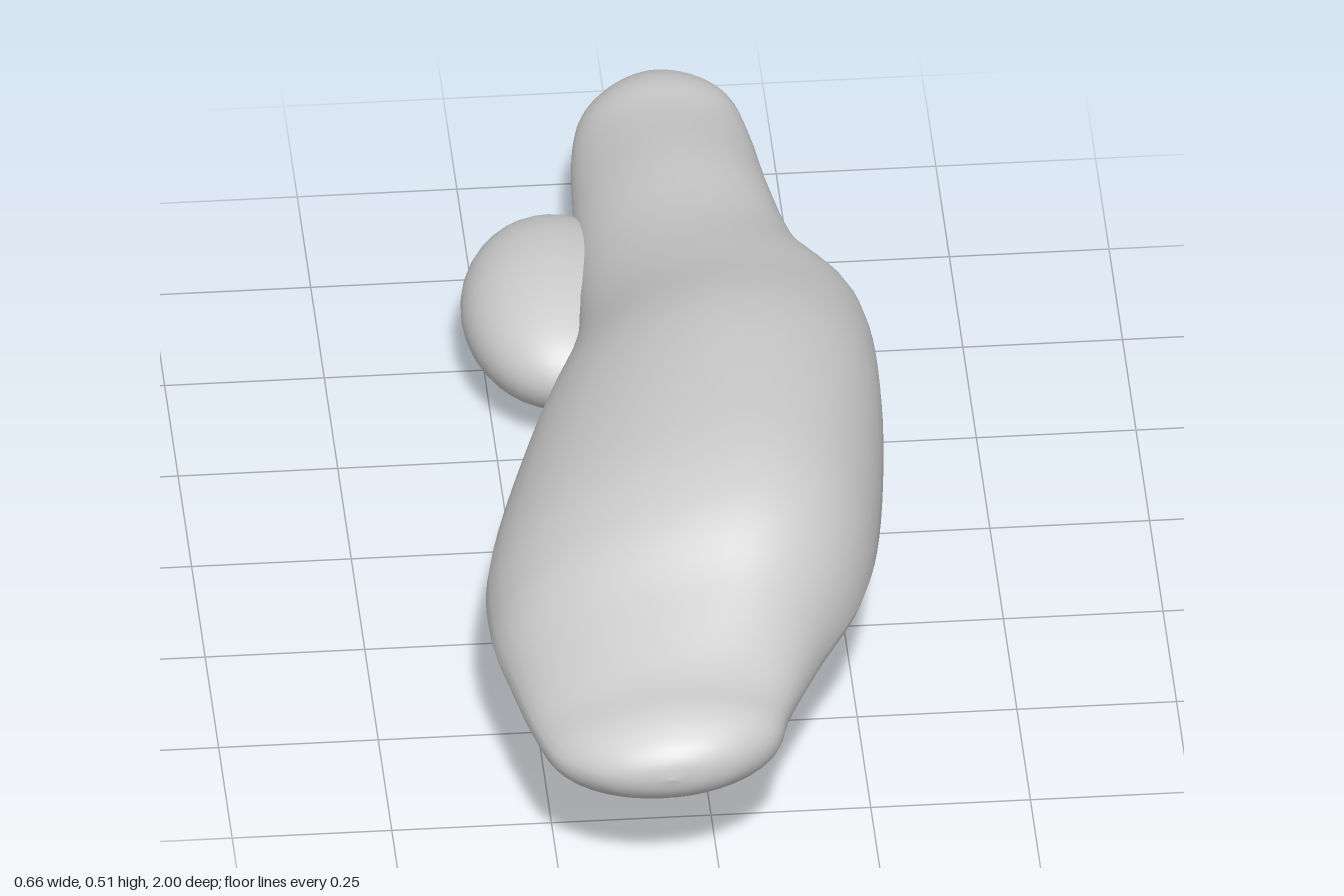
import * as THREE from 'three';

const material = new THREE.MeshStandardMaterial({ color: 0xcccccc });

function part(name, geometry) {
  geometry.computeVertexNormals();
  const mesh = new THREE.Mesh(geometry, material);
  mesh.name = name;
  return mesh;
}

// Smooth value of one column of the section table at position t (0..1)
function sample(rows, col, t) {
  const n = rows.length - 1, f = t * n, i = Math.min(Math.floor(f), n - 1), u = f - i;
  const at = k => rows[THREE.MathUtils.clamp(k, 0, n)][col];
  const a = at(i - 1), b = at(i), c = at(i + 1), d = at(i + 2);
  return b + 0.5 * u * (c - a + u * (2 * a - 5 * b + 4 * c - d + u * (3 * (b - c) + d - a)));
}

// Rounded end: the end section shrinks along a quarter ellipse towards its centre
function cap([z, l, r, tx, ty, y, by, p], tipZ) {
  const mx = (l + r) / 2, my = (ty + by) / 2;
  return [0.5, 0.8, 0.95, 1].map(u => {
    const s = Math.sqrt(1 - u * u);
    const x = v => mx + (v - mx) * s, h = v => my + (v - my) * s;
    return [z + (tipZ - z) * u, x(l), x(r), x(tx), h(ty), h(y), h(by), p];
  });
}

// Skin over the sections; each quadrant is a power curve between edge, top and bottom
function loft(rows, steps = 96, sides = 40) {
  const pos = [], idx = [];
  for (let i = 0; i <= steps; i++) {
    const [z, l, r, tx, ty, y, by, p] = rows[0].map((_, c) => sample(rows, c, i / steps));
    const height = ty - by;
    for (let j = 0; j < sides; j++) {
      const a = (j / sides) * Math.PI * 2, c = Math.cos(a), s = Math.sin(a);
      const power = s >= 0 ? (c < 0 ? 1.15 : 0.95) : p;
      const midX = s >= 0 ? tx : (l + r) / 2 - 0.1 * height;
      const edgeX = c < 0 ? l : r, edgeY = c < 0 ? y : y + 0.1 * height;
      const endY = s >= 0 ? ty : by;
      pos.push(
        midX + (edgeX - midX) * Math.abs(c) ** power,
        edgeY + (endY - edgeY) * Math.abs(s) ** power, z);
      if (i < steps) {
        const k = (j + 1) % sides, q = i * sides, n = q + sides;
        idx.push(q + j, n + j, q + k, q + k, n + j, n + k);
      }
    }
  }
  const g = new THREE.BufferGeometry();
  g.setAttribute('position', new THREE.Float32BufferAttribute(pos, 3));
  g.setIndex(idx);
  return g;
}

// Ellipsoid whose x shifts along z by a rule
function ellipsoid(center, radii, drift = () => 0) {
  const g = new THREE.SphereGeometry(1, 36, 24).scale(...radii).translate(...center);
  const p = g.attributes.position;
  for (let i = 0; i < p.count; i++) p.setX(i, p.getX(i) + drift(p.getZ(i)));
  return g;
}

export function createModel() {
  const group = new THREE.Group();
  group.name = 'organicForm';

  // Sections from front lip to tail:
  // z, left x, right x, top x, top y, edge y, bottom y, power of the underside
  const sections = [
    [0.83, -0.285, 0.12, -0.05, 0.335, 0.23, 0.148, 0.95],
    [0.70, -0.31, 0.18, 0.02, 0.40, 0.23, 0.14, 1.0],
    [0.56, -0.33, 0.255, 0.06, 0.485, 0.23, 0.10, 1.3],
    [0.38, -0.315, 0.297, 0.07, 0.51, 0.235, 0.05, 1.7],
    [0.05, -0.22, 0.326, 0.09, 0.485, 0.24, 0.035, 1.6],
    [-0.22, -0.13, 0.315, 0.10, 0.40, 0.23, 0.04, 1.5],
    [-0.42, -0.11, 0.24, 0.08, 0.342, 0.21, 0.06, 1.25],
    [-0.62, -0.10, 0.21, 0.07, 0.312, 0.19, 0.09, 1.0],
    [-0.80, -0.088, 0.195, 0.06, 0.272, 0.175, 0.09, 0.9],
  ];
  const body = [
    ...cap(sections[0], 1).reverse(), ...sections,
    ...cap(sections[sections.length - 1], -1),
  ];
  group.add(part('body', loft(body)));

  // Blunt keel below, drifting sideways into the lobe towards the back
  group.add(part('keel', ellipsoid([-0.025, 0.13, 0], [0.095, 0.13, 0.67],
    z => (z < 0 ? -0.25 * z * z : 0))));

  // Round lobe beside the tail
  group.add(part('sideLobe', ellipsoid([-0.14, 0.138, -0.45], [0.15, 0.108, 0.22])));

  return group;
}
